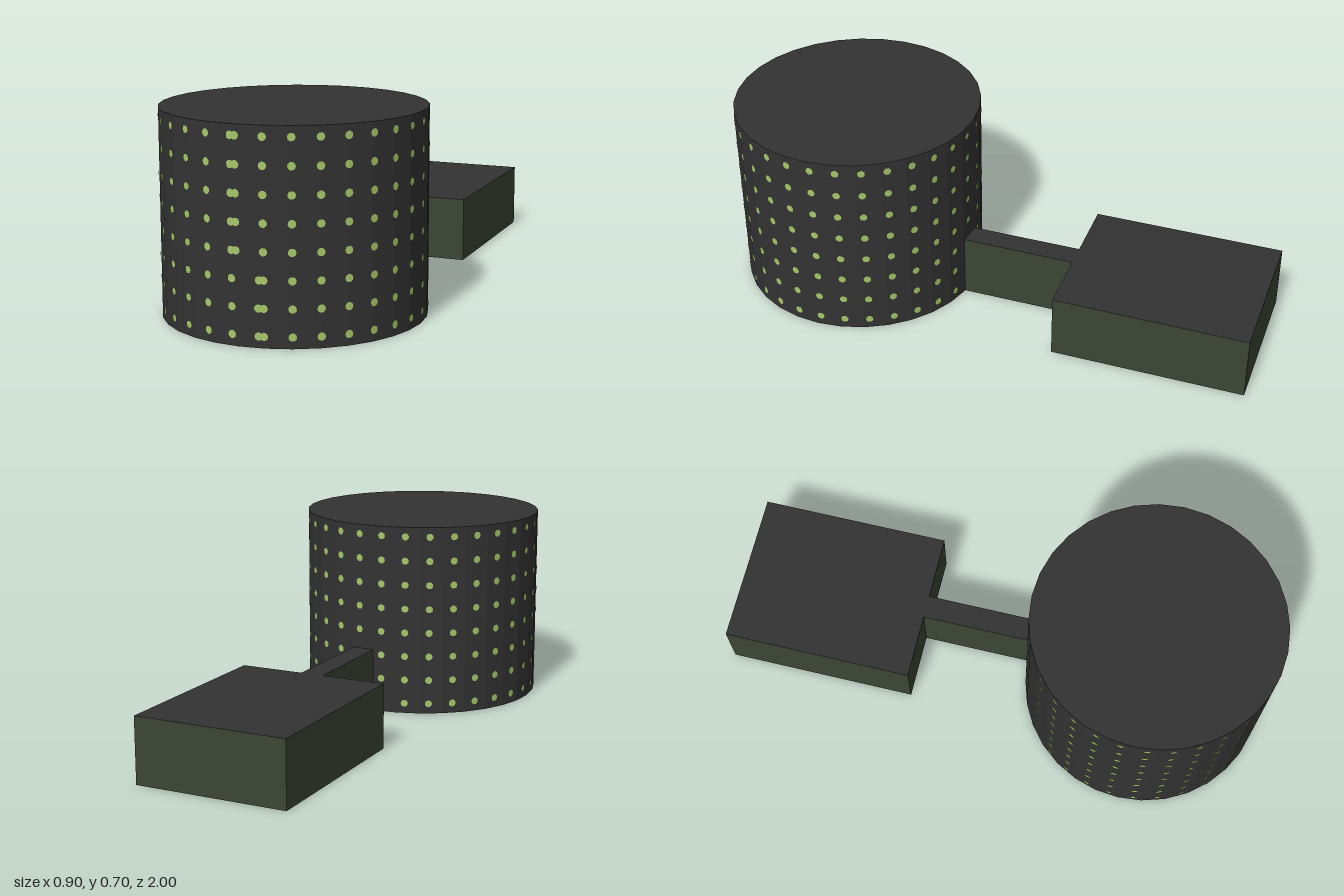
import * as THREE from 'three';

export function createModel() {
  const group = new THREE.Group();
  const mat = (name, color, extra = {}) => {
    const m = new THREE.MeshStandardMaterial({ color, ...extra });
    m.name = name;
    return m;
  };
  const charcoal = mat('charcoal', 0x333333, { flatShading: true });
  const green = mat('dark green', 0x3c4634);
  const lime = mat('lime', 0xa4c868);

  const R = 0.447, H = 0.703, CZ = 0.553;

  const add = (parent, name, geometry, material) => {
    const mesh = new THREE.Mesh(geometry, material);
    mesh.name = name;
    parent.add(mesh);
    return mesh;
  };

  // Round tower
  const tower = new THREE.Group();
  tower.name = 'tower';
  tower.position.z = CZ;
  group.add(tower);
  add(tower, 'towerBody', new THREE.CylinderGeometry(R, R, H, 32), charcoal).position.y = H / 2;

  // Round windows in eight rings; each ring closes with one overlapping window
  const disc = new THREE.CircleGeometry(0.0135, 10);
  const windows = new THREE.Group();
  windows.name = 'windows';
  tower.add(windows);
  const addWindow = (degrees, y) => {
    const a = THREE.MathUtils.degToRad(degrees);
    const w = add(windows, 'window', disc, lime);
    w.position.set(Math.sin(a) * (R + 0.001), y, Math.cos(a) * (R + 0.001));
    w.rotation.y = a;
  };
  for (let row = 0; row < 8; row++) {
    const y = 0.038 + row * 0.09;
    for (let i = 0; i < 31; i++) addWindow(11 + i * 11.55, y);
    if (row < 2) addWindow(8.8, y);
    else if (row === 2) addWindow(9.2, y);
    else addWindow(-0.4, y);
  }

  // Low blocks: green walls, charcoal roof and underside
  const addBlock = (name, x0, x1, z0, z1, h) => {
    const mesh = add(group, name, new THREE.BoxGeometry(x1 - x0, h, z1 - z0),
      [green, green, charcoal, charcoal, green, green]);
    mesh.position.set((x0 + x1) / 2, h / 2, (z0 + z1) / 2);
  };
  addBlock('annex', -0.237, 0.318, -1, -0.3, 0.234);
  addBlock('corridor', 0, 0.085, -0.3, 0.13, 0.234);

  return group;
}
